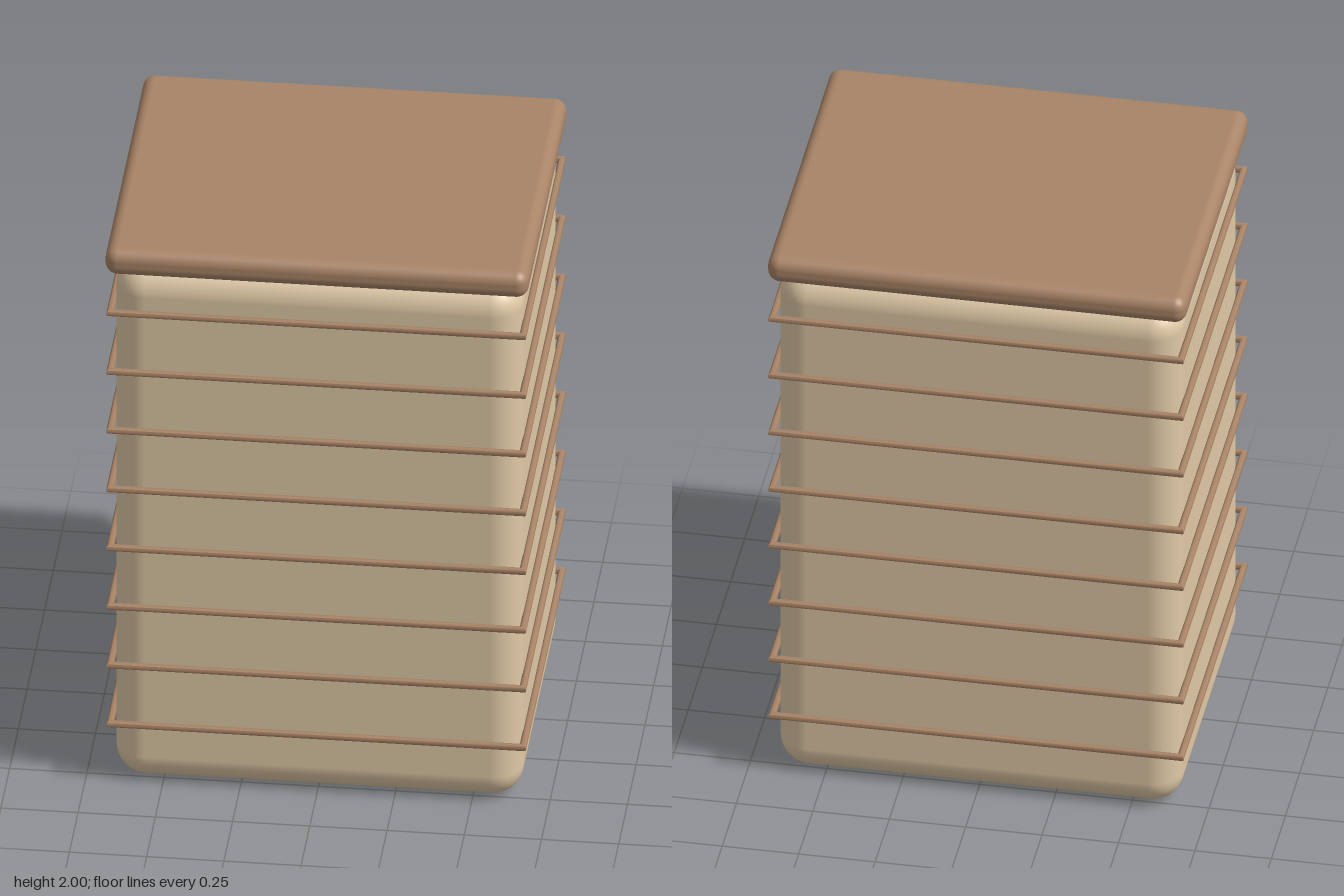
import * as THREE from 'three';
import { RoundedBoxGeometry } from 'three/addons/geometries/RoundedBoxGeometry.js';
import { toCreasedNormals } from 'three/addons/utils/BufferGeometryUtils.js';

// Rectangular hoop of round wire with mitred corners, centred on the wire's axis
function hoopGeometry(halfX, halfZ, r) {
  const k = Math.SQRT2;
  const g = new THREE.TorusGeometry(halfZ * k, r * k, 10, 4);
  g.rotateZ(Math.PI / 4);
  g.rotateX(Math.PI / 2);
  g.scale(1, 1 / k, 1);
  // Stretch the square to a rectangle without thickening the wire
  const p = g.attributes.position;
  for (let i = 0; i < p.count; i++) {
    p.setX(i, p.getX(i) + Math.sign(p.getX(i)) * (halfX - halfZ));
  }
  return toCreasedNormals(g, Math.PI / 4);
}

export function createModel() {
  const model = new THREE.Group();
  model.name = 'basket';

  const wicker = new THREE.MeshStandardMaterial({ color: 0xe0c9a6 });
  wicker.name = 'pale wicker';
  const wood = new THREE.MeshStandardMaterial({ color: 0xa98467 });
  wood.name = 'brown wood';

  const add = (name, geometry, material, y) => {
    const mesh = new THREE.Mesh(geometry, material);
    mesh.name = name;
    mesh.position.y = y;
    model.add(mesh);
  };

  // Soft-edged body
  add('body', new RoundedBoxGeometry(1.318, 1.92, 1.098, 6, 0.1), wicker, 0.96);

  // Overhanging lid
  add('lid', new RoundedBoxGeometry(1.37, 0.095, 1.15, 6, 0.04), wood, 1.9525);

  // Evenly spaced hoops around the body
  const hoop = hoopGeometry(0.668, 0.558, 0.012);
  for (let i = 0; i < 8; i++) add(`hoop${i + 1}`, hoop, wood, 0.225 + i * 0.22);

  return model;
}
